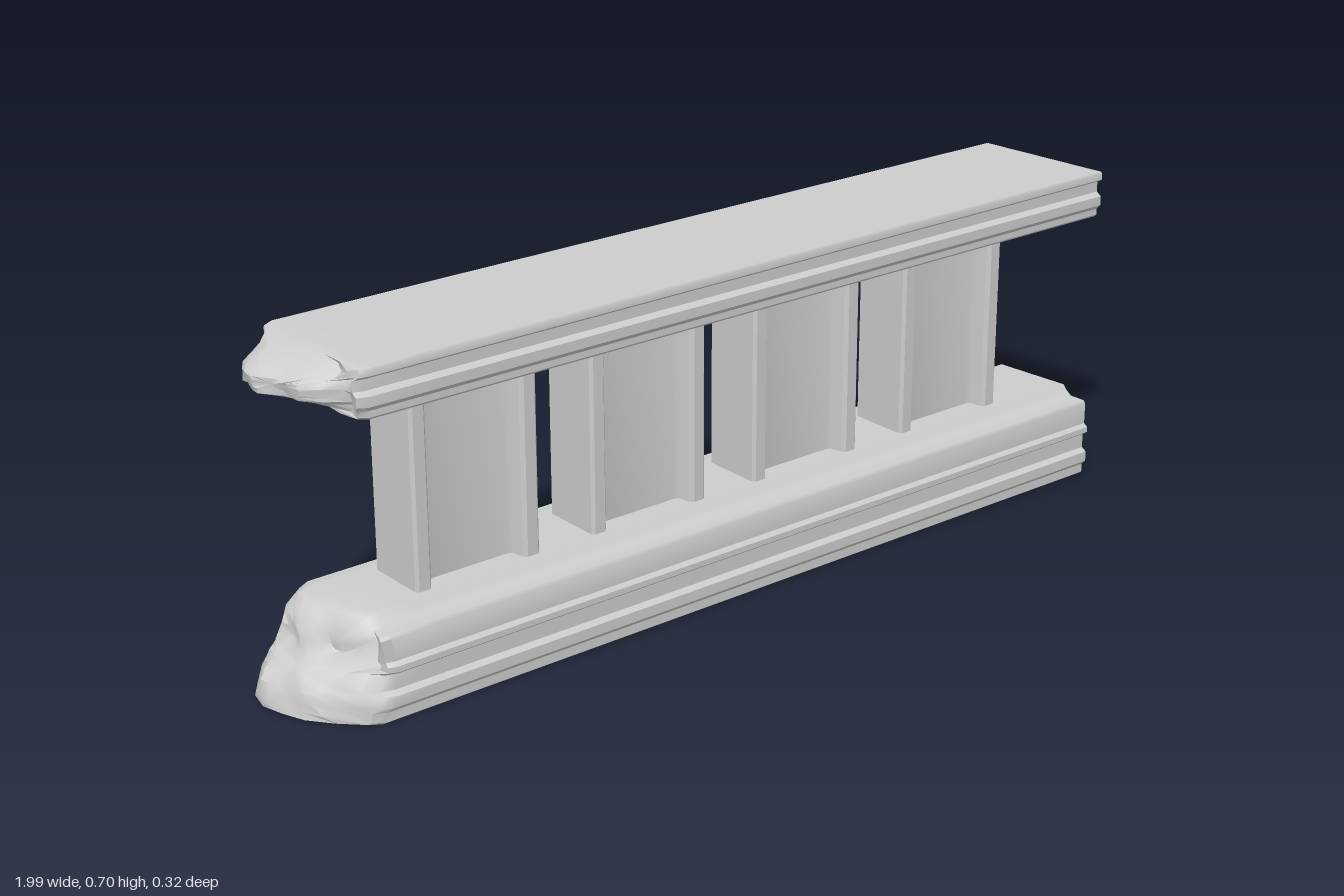
import * as THREE from 'three';
import { toCreasedNormals } from 'three/addons/utils/BufferGeometryUtils.js';

const stone = new THREE.MeshStandardMaterial({ color: 0xcccccc });

// Piecewise linear lookup in a list of [position, value]
function lookup(table, t) {
  if (t <= table[0][0]) return table[0][1];
  for (let i = 1; i < table.length; i++) {
    const [a, va] = table[i - 1], [b, vb] = table[i];
    if (t <= b) return va + (vb - va) * (t - a) / (b - a);
  }
  return table[table.length - 1][1];
}

// How much of the broken end is missing across the depth
const loss = [[-0.16, 0.11], [-0.13, 0.05], [-0.08, 0], [-0.02, 0.005], [0.08, 0.05], [0.15, 0.13]];

// Moulded rail: half profile [z, y] mirrored in z, swept along x,
// cut at a slant on the left and broken off on the right
function rail(name, half, yc, reach, shortest) {
  const profile = [...half, ...half.slice(1, -1).reverse().map(([z, y]) => [-z, y])];
  const cut = (y, z) => 0.98 + 0.09 * z;
  const broken = (y, z) => -Math.max(lookup(reach, y) - lookup(loss, z), shortest)
    + 0.006 * Math.sin(70 * z + 40 * y);
  // Each ring: scale of the profile and its x position
  const rings = [
    [0, cut], [1, cut],
    [1, () => -0.74],
    [1, (y, z) => broken(y, z) + 0.02],
    ...[0.95, 0.8, 0.6, 0.4, 0.2, 0].map(s => [s, broken]),
  ];
  const n = profile.length, pos = [], index = [];
  for (const [s, xAt] of rings) {
    for (const [pz, py] of profile) {
      const z = pz * s, y = yc + (py - yc) * s;
      pos.push(xAt(y, z), y, z);
    }
  }
  for (let i = 0; i < rings.length - 1; i++) {
    for (let j = 0; j < n; j++) {
      const k = (j + 1) % n;
      const a = i * n + j, b = i * n + k, c = a + n, d = b + n;
      if (rings[i][0] > 0) index.push(a, b, c);
      if (rings[i + 1][0] > 0) index.push(b, d, c);
    }
  }
  const geo = new THREE.BufferGeometry();
  geo.setAttribute('position', new THREE.Float32BufferAttribute(pos, 3));
  geo.setIndex(index);
  const mesh = new THREE.Mesh(toCreasedNormals(geo, 0.7), stone);
  mesh.name = name;
  return mesh;
}

// Upright with flanges at both sides and a recessed panel front and back
function balusterGeometry() {
  const quarter = [[0.142, 0.064], [0.136, 0.07], [0.112, 0.07], [0.105, 0.062], [0.1, 0.036], [0.09, 0.032]];
  const flip = (sx, sz) => quarter.map(([x, z]) => [x * sx, z * sz]);
  const outline = [
    ...flip(1, 1), ...flip(-1, 1).reverse(),
    ...flip(-1, -1), ...flip(1, -1).reverse(),
  ];
  const shape = new THREE.Shape(outline.map(([x, z]) => new THREE.Vector2(x, z)));
  const geo = new THREE.ExtrudeGeometry(shape, { depth: 0.415, bevelEnabled: false });
  geo.rotateX(-Math.PI / 2);
  return toCreasedNormals(geo, 0.5);
}

export function createModel() {
  const group = new THREE.Group();
  group.name = 'brokenBalustrade';

  // Base with two mouldings and a raised strip on top
  group.add(rail('baseRail', [
    [0, 0], [0.05, 0], [0.1, 0], [0.145, 0], [0.15, 0.004], [0.15, 0.023],
    [0.159, 0.033], [0.159, 0.055], [0.148, 0.063], [0.148, 0.094],
    [0.159, 0.102], [0.159, 0.114], [0.15, 0.121], [0.15, 0.168], [0.145, 0.174],
    [0.11, 0.175], [0.098, 0.184], [0.088, 0.196], [0.045, 0.196], [0, 0.196],
  ], 0.09, [[0, 1], [0.05, 0.99], [0.09, 0.96], [0.12, 0.93], [0.16, 0.925], [0.196, 0.89]], 0.85));

  // Handrail with two mouldings
  group.add(rail('handRail', [
    [0, 0.6], [0.05, 0.6], [0.1, 0.6], [0.145, 0.6], [0.15, 0.605], [0.15, 0.618],
    [0.159, 0.628], [0.159, 0.648], [0.148, 0.656], [0.148, 0.678],
    [0.159, 0.685], [0.159, 0.698], [0.156, 0.702], [0.1, 0.702], [0.05, 0.702], [0, 0.702],
  ], 0.65, [[0.6, 0.9], [0.63, 0.98], [0.66, 0.985], [0.685, 0.94], [0.702, 0.89]], 0.88));

  // Row of uprights between the rails
  const geo = balusterGeometry();
  for (let i = 0; i < 4; i++) {
    const baluster = new THREE.Mesh(geo, stone);
    baluster.name = 'baluster' + (i + 1);
    baluster.position.set(-0.583 + i * 0.41, 0.19, 0);
    group.add(baluster);
  }
  return group;
}
